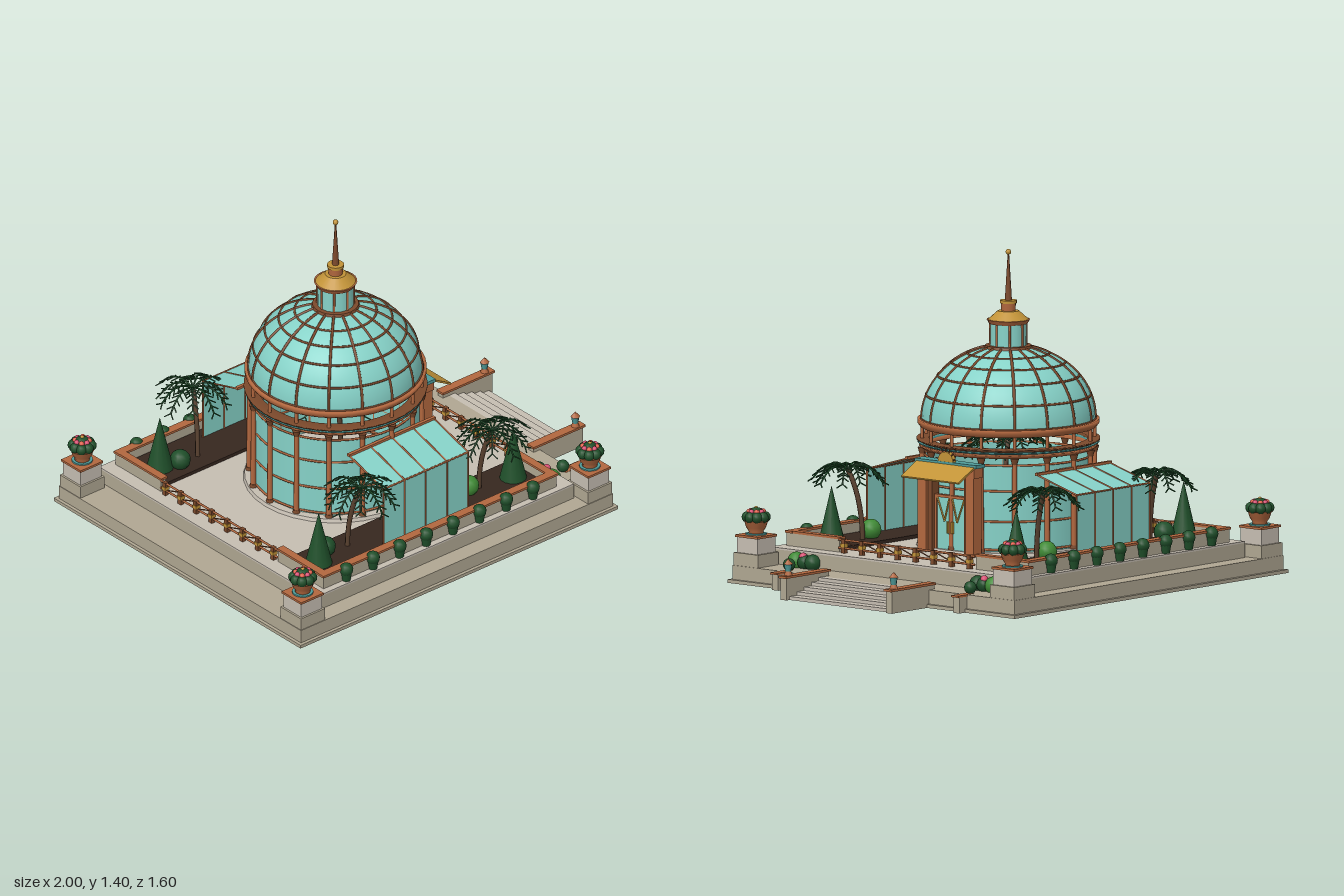
import * as THREE from 'three';

const C = { stone: 0xb0a792, pale: 0xc6beb2, copper: 0xb3683f, rib: 0x7d4a2c, glass: 0x86d2c8, teal: 0x4f9c9a,
  gold: 0xc29338, leaf: 0x1f4f2a, bright: 0x3f8a35, soil: 0x36271f, red: 0xe0604c, pink: 0xd84f72, trunk: 0x5a4230 };
const mats = {};
const mat = (c, two) => (mats[c + (two ? 'd' : '')] ??= new THREE.MeshStandardMaterial({
  color: c, side: two ? THREE.DoubleSide : THREE.FrontSide }));

export function createModel() {
  const root = new THREE.Group();
  const DX = -0.12, FLOOR = 0.145;

  const add = (name, geo, color, x = 0, y = 0, z = 0, two = false, parent = root) => {
    const m = new THREE.Mesh(geo, mat(color, two));
    m.name = name;
    m.position.set(x, y, z);
    parent.add(m);
    return m;
  };
  // box given by its limits
  const box = (name, color, x0, x1, y0, y1, z0, z1) => add(name,
    new THREE.BoxGeometry(x1 - x0, y1 - y0, z1 - z0), color, (x0 + x1) / 2, (y0 + y1) / 2, (z0 + z1) / 2);
  // upright cylinder or cone between two heights
  const cyl = (name, color, rTop, rBot, y0, y1, x = DX, z = 0, n = 16) => add(name,
    new THREE.CylinderGeometry(rTop, rBot, y1 - y0, n), color, x, (y0 + y1) / 2, z);
  const ball = (name, color, r, x, y, z) => add(name, new THREE.SphereGeometry(r, 12, 8), color, x, y, z);
  const ring = (name, color, r, tube, y) => {
    add(name, new THREE.TorusGeometry(r, tube, 6, 48), color, DX, y, 0).rotation.x = Math.PI / 2;
  };
  // straight bar between two points
  const bar = (name, color, a, b, r = 0.005) => {
    const p = new THREE.Vector3(...a), q = new THREE.Vector3(...b), d = q.clone().sub(p);
    const m = add(name, new THREE.CylinderGeometry(r, r, d.length(), 6), color);
    m.position.copy(p).add(q).multiplyScalar(0.5);
    m.quaternion.setFromUnitVectors(new THREE.Vector3(0, 1, 0), d.normalize());
  };

  // leaning trunk with arching, feathered fronds
  const palm = (x0, z0, x, z, yTop, reach, name) => {
    const trunk = new THREE.QuadraticBezierCurve3(new THREE.Vector3(x0, FLOOR, z0),
      new THREE.Vector3(x0, yTop - 0.12, z0), new THREE.Vector3(x, yTop, z));
    add(name + 'Trunk', new THREE.TubeGeometry(trunk, 8, 0.011, 6), C.trunk);
    for (let i = 0; i < 11; i++) {
      const a = i / 11 * Math.PI * 2, len = reach * (0.85 + 0.15 * Math.cos(i * 2.4));
      const ca = Math.cos(a), sa = Math.sin(a);
      const stem = new THREE.QuadraticBezierCurve3(new THREE.Vector3(x, yTop, z),
        new THREE.Vector3(x + ca * len * 0.55, yTop + 0.06, z + sa * len * 0.55),
        new THREE.Vector3(x + ca * len, yTop - 0.04, z + sa * len));
      add(name + 'Stem', new THREE.TubeGeometry(stem, 8, 0.004, 5), C.leaf);
      for (let k = 2; k <= 7; k++) for (const s of [-1, 1]) {
        const p = stem.getPoint(k / 7), w = 0.036 - k * 0.002;
        bar(name + 'Leaflet', C.leaf, p.toArray(),
          [p.x + ca * 0.018 - s * sa * w, p.y - 0.014, p.z + sa * 0.018 + s * ca * w], 0.003);
      }
    }
  };

  // terraces
  box('baseSlab', C.stone, -1, 0.765, 0, 0.015, -0.8, 0.8);
  box('lowerTerrace', C.stone, -0.985, 0.75, 0.015, 0.075, -0.785, 0.785);
  box('upperTerrace', C.stone, -0.83, 0.6, 0.075, 0.137, -0.705, 0.705);
  box('terracePaving', C.pale, -0.83, 0.6, 0.137, FLOOR, -0.705, 0.705);

  // entrance stairs
  for (let i = 0; i < 5; i++)
    box('step', C.pale, 0.74, 0.97 - i * 0.047, 0, 0.015 + i * 0.015, -0.28, 0.28);

  for (const s of [-1, 1]) {
    const span = (name, color, x0, x1, y0, y1, a, b) =>
      box(name, color, x0, x1, y0, y1, Math.min(s * a, s * b), Math.max(s * a, s * b));

    // stair cheeks with lanterns
    span('stairCheek', C.stone, 0.715, 0.99, 0, 0.093, 0.278, 0.31);
    span('cheekCap', C.copper, 0.71, 1, 0.093, 0.103, 0.273, 0.315);
    cyl('lanternFoot', C.copper, 0.012, 0.018, 0.103, 0.12, 0.96, s * 0.294, 8);
    cyl('lanternGlass', C.teal, 0.018, 0.013, 0.12, 0.15, 0.96, s * 0.294, 6);
    cyl('lanternRoof', C.copper, 0.002, 0.021, 0.15, 0.172, 0.96, s * 0.294, 6);

    // front flower bed and low pier
    span('lowPier', C.stone, 0.71, 0.8, 0, 0.068, 0.488, 0.522);
    span('pierCap', C.copper, 0.71, 0.81, 0.068, 0.076, 0.485, 0.525);
    ball('pierShrub', C.leaf, 0.027, 0.71, 0.1, s * 0.505);
    ball('frontBush', C.bright, 0.04, 0.61, 0.1, s * 0.55);
    ball('frontBush', C.leaf, 0.036, 0.61, 0.1, s * 0.46);
    ball('frontBush', C.leaf, 0.033, 0.615, 0.1, s * 0.5);
    ball('frontFlower', C.pink, 0.018, 0.62, 0.123, s * 0.505);

    // corner pedestals with planted urns
    for (const x of [-0.915, 0.68]) {
      const z = s * 0.715;
      span('pedestalFoot', C.stone, x - 0.067, x + 0.067, 0.015, 0.13, 0.648, 0.782);
      span('pedestal', C.pale, x - 0.058, x + 0.058, 0.13, 0.196, 0.657, 0.773);
      span('pedestalCap', C.copper, x - 0.063, x + 0.063, 0.196, 0.206, 0.652, 0.778);
      const urn = [[0, 0], [0.036, 0], [0.03, 0.012], [0.042, 0.03], [0.05, 0.055], [0.055, 0.06], [0, 0.06]];
      add('urn', new THREE.LatheGeometry(urn.map(p => new THREE.Vector2(...p)), 16), C.copper, x, 0.206, z);
      cyl('urnBand', C.teal, 0.045, 0.045, 0.206, 0.212, x, z);
      ball('urnFoliage', C.leaf, 0.04, x, 0.282, z);
      for (let i = 0; i < 8; i++) {
        const a = i * Math.PI / 4, c = Math.cos(a), n = Math.sin(a);
        ball('urnFoliage', C.leaf, 0.024, x + c * 0.038, 0.28, z + n * 0.038);
        ball('urnFlower', i % 2 ? C.red : C.pink, 0.012, x + c * 0.03, 0.303, z + n * 0.03);
      }
      ball('urnFlower', C.gold, 0.01, x, 0.316, z);
    }

    // planting beds with copper-capped walls
    span('soil', C.soil, -0.735, 0.5, FLOOR, 0.16, 0.4, 0.64);
    span('bedWall', C.stone, -0.765, 0.53, FLOOR, 0.2, 0.645, 0.675);
    span('bedCap', C.copper, -0.77, 0.535, 0.2, 0.21, 0.64, 0.68);
    for (const x of [-0.75, 0.515]) {
      span('bedEndWall', C.stone, x - 0.014, x + 0.014, FLOOR, 0.2, 0.38, 0.645);
      span('bedEndCap', C.copper, x - 0.018, x + 0.018, 0.2, 0.21, 0.375, 0.64);
    }

    // row of potted shrubs
    for (let i = 0; i < 8; i++) {
      const x = -0.643 + i * 0.148;
      cyl('shrubPot', C.leaf, 0.024, 0.018, FLOOR, 0.18, x, s * 0.68, 10);
      ball('shrub', C.leaf, 0.03, x, 0.196, s * 0.68);
    }

    // bed trees and bushes
    for (const x of [-0.655, 0.425])
      cyl('coneTree', C.leaf, 0, 0.058, 0.16, 0.405, x, s * 0.515, 14);
    palm(-0.47, s * 0.485, -0.445, s * 0.545, 0.455, 0.175, 'palm');
    palm(0.26, s * 0.485, 0.285, s * 0.545, 0.455, 0.175, 'palm');
    ball('bedBush', C.bright, 0.045, 0.2, 0.195, s * 0.49);
    ball('bedBush', C.leaf, 0.045, -0.58, 0.19, s * 0.47);

    // open-sided glass wing with sloping roof
    const W0 = -0.355, W1 = 0.115, zo = s * 0.585, zi = s * 0.36, ye = 0.435, yi = 0.5;
    add('wingGlass', new THREE.PlaneGeometry(W1 - W0, ye - FLOOR), C.glass, DX, (ye + FLOOR) / 2, zo, true);
    const slope = Math.hypot(0.225, yi - ye);
    add('wingRoof', new THREE.PlaneGeometry(W1 - W0, slope), C.glass, DX, (ye + yi) / 2, (zo + zi) / 2, true)
      .rotation.x = -s * (Math.PI / 2 - Math.atan2(yi - ye, 0.225));
    for (let i = 0; i < 5; i++) {
      const x = W0 + (W1 - W0) * i / 4;
      bar('wingMullion', C.copper, [x, FLOOR, zo], [x, ye, zo], 0.004);
      bar('wingRafter', C.copper, [x, ye, zo], [x, yi, zi], 0.004);
    }
    bar('wingEave', C.copper, [W0, ye, zo], [W1, ye, zo], 0.004);
    span('wingRidge', C.copper, W0 - 0.005, W1 + 0.005, yi - 0.004, yi + 0.008, 0.355, 0.37);

    // end railings
    const rx = s > 0 ? 0.535 : -0.765;
    for (const y of [0.165, 0.2]) bar('rail', C.copper, [rx, y, -0.38], [rx, y, 0.38], 0.005);
    for (let i = 0; i < 8; i++) {
      const z = -0.35 + i * 0.1;
      box('railPost', C.rib, rx - 0.009, rx + 0.009, FLOOR, 0.205, z - 0.01, z + 0.01);
      box('railBoss', C.gold, rx - 0.012, rx + 0.012, 0.17, 0.185, z - 0.012, z + 0.012);
      if (i < 7) bar('railBrace', C.rib, [rx, 0.165, z], [rx, 0.2, z + 0.1], 0.003);
    }
  }

  // glazed drum
  cyl('drumPlinth', C.pale, 0.385, 0.39, FLOOR, 0.16, DX, 0, 32);
  add('drumGlass', new THREE.CylinderGeometry(0.355, 0.355, 0.37, 16, 1, true), C.glass, DX, 0.345, 0, true);
  for (const y of [0.17, 0.29, 0.42, 0.53]) ring('drumBar', C.copper, 0.353, 0.005, y);
  palm(DX + 0.03, 0, DX, 0, 0.59, 0.24, 'indoorPalm');

  // ring beams, hollow inside
  const beam = (name, color, r, y0, y1) => {
    const pts = [[0.335, y0], [r - 0.012, y0], [r, (y0 + y1) / 2], [r, y1], [0.335, y1], [0.335, y0]];
    add(name, new THREE.LatheGeometry(pts.map(p => new THREE.Vector2(...p)), 48), color, DX, 0, 0, true);
  };
  beam('lowerBeam', C.copper, 0.378, 0.56, 0.578);
  beam('lowerBeamBand', C.teal, 0.384, 0.578, 0.588);
  beam('lowerBeamCap', C.rib, 0.388, 0.588, 0.6);
  beam('upperBeam', C.copper, 0.385, 0.65, 0.682);

  // dome profile shared by shell, ribs and hoops
  const domeAt = t => new THREE.Vector2(0.368 * Math.cos(t), 0.675 + 0.32 * Math.sin(t) ** 0.97);
  const T = 1.31, prof = Array.from({ length: 17 }, (_, i) => domeAt(T * i / 16));
  add('domeGlass', new THREE.LatheGeometry(prof, 48), C.glass, DX, 0, 0, true);
  for (const t of [0.02, 0.33, 0.62, 0.86, 1.08]) {
    const p = domeAt(t);
    ring('domeHoop', C.rib, p.x, 0.005, p.y);
  }
  for (let i = 0; i < 16; i++) {
    const a = i * Math.PI / 8, c = Math.cos(a), n = Math.sin(a);
    const rib = new THREE.CatmullRomCurve3(prof.map(p => new THREE.Vector3(DX + p.x * c, p.y, p.x * n)));
    add('domeRib', new THREE.TubeGeometry(rib, 20, 0.0065, 5), C.rib);
    const x = DX + 0.365 * c, z = 0.365 * n;
    cyl('column', C.copper, 0.01, 0.012, FLOOR, 0.55, x, z, 8);
    cyl('columnBase', C.rib, 0.014, 0.017, 0.155, 0.175, x, z, 8);
    cyl('capital', C.rib, 0.019, 0.011, 0.535, 0.562, x, z, 8);
    cyl('galleryPost', C.copper, 0.008, 0.008, 0.6, 0.652, x, z, 6);
  }

  // lantern and spire
  cyl('lanternBase', C.rib, 0.098, 0.104, 0.978, 0.994, DX, 0, 24);
  cyl('lanternDrum', C.glass, 0.076, 0.078, 0.994, 1.09);
  for (let i = 0; i < 8; i++) {
    const a = i * Math.PI / 4, x = DX + 0.077 * Math.cos(a), z = 0.077 * Math.sin(a);
    bar('lanternPost', C.copper, [x, 0.99, z], [x, 1.09, z], 0.005);
  }
  cyl('lanternCornice', C.copper, 0.092, 0.082, 1.086, 1.104, DX, 0, 24);
  cyl('lanternCap', C.gold, 0.045, 0.085, 1.104, 1.14, DX, 0, 24);
  cyl('spireCollar', C.copper, 0.032, 0.03, 1.14, 1.175);
  cyl('spireRing', C.gold, 0.036, 0.036, 1.172, 1.185);
  cyl('spire', C.rib, 0.003, 0.015, 1.185, 1.385, DX, 0, 8);
  ball('finial', C.gold, 0.012, DX, 1.39, 0);

  // entrance portal
  for (const s of [-1, 1]) {
    box('portalPillar', C.copper, 0.235, 0.285, FLOOR, 0.485, s * 0.133 - 0.023, s * 0.133 + 0.023);
    box('portalReveal', C.rib, 0.225, 0.27, FLOOR, 0.485, s * 0.1 - 0.01, s * 0.1 + 0.01);
    bar('doorBrace', C.gold, [0.252, 0.38, s * 0.075], [0.252, 0.28, s * 0.035], 0.004);
    bar('doorBrace', C.gold, [0.252, 0.38, s * 0.008], [0.252, 0.28, s * 0.035], 0.004);
    box('doorFrame', C.copper, 0.235, 0.255, FLOOR, 0.39, s * 0.083 - 0.006, s * 0.083 + 0.006);
    box('doorHandle', C.gold, 0.25, 0.262, 0.23, 0.28, s * 0.012 - 0.004, s * 0.012 + 0.004);
  }
  box('doors', C.glass, 0.237, 0.248, FLOOR, 0.385, -0.083, 0.083);
  box('doorMeeting', C.copper, 0.238, 0.254, FLOOR, 0.385, -0.004, 0.004);
  box('doorHead', C.copper, 0.235, 0.255, 0.38, 0.392, -0.089, 0.089);
  box('portalLintel', C.copper, 0.23, 0.288, 0.482, 0.525, -0.162, 0.162);
  box('portalRoof', C.teal, 0.23, 0.288, 0.525, 0.54, -0.172, 0.172);
  add('canopy', new THREE.BoxGeometry(0.115, 0.008, 0.32), C.gold, 0.335, 0.5, 0).rotation.z = -0.5;

  // fan crest above the portal
  add('crest', new THREE.CylinderGeometry(0.042, 0.042, 0.02, 20, 1, false, 0, Math.PI), C.gold, 0.277, 0.54, 0, true)
    .rotation.z = Math.PI / 2;
  for (let i = 0; i < 7; i++) {
    const a = Math.PI * (i + 0.5) / 7;
    bar('crestRay', C.rib, [0.28, 0.54, 0], [0.285, 0.54 + 0.06 * Math.sin(a), 0.055 * Math.cos(a)], 0.003);
  }
  return root;
}
